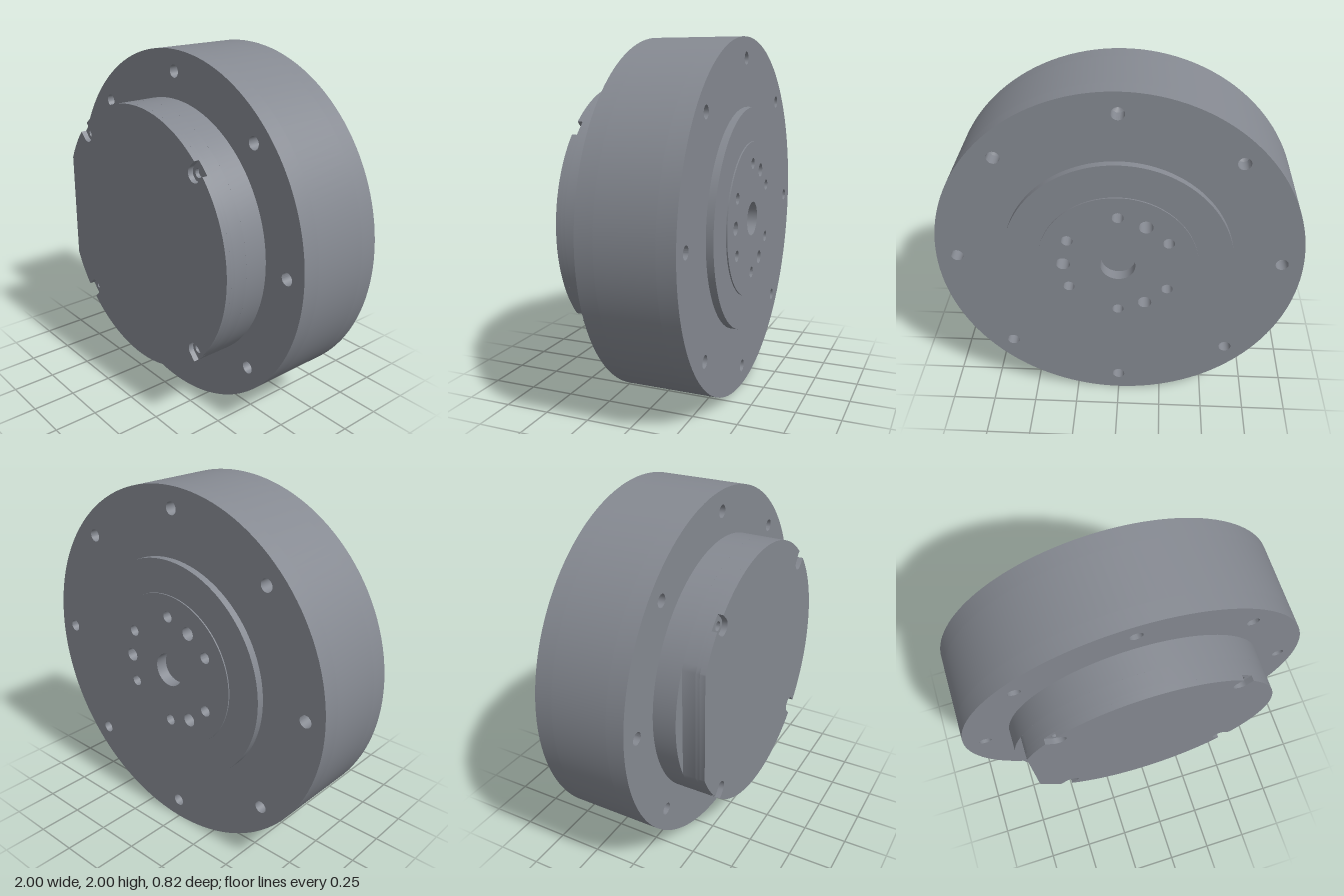
import * as THREE from 'three';
import { toCreasedNormals } from 'three/addons/utils/BufferGeometryUtils.js';

const steel = new THREE.MeshStandardMaterial({ color: 0x858991, side: THREE.DoubleSide });
steel.name = 'steel grey';

// points of a circle
function circle(cx, cy, r, n = 24) {
  const pts = [];
  for (let i = 0; i < n; i++) {
    const a = (i / n) * Math.PI * 2;
    pts.push(new THREE.Vector2(cx + r * Math.cos(a), cy + r * Math.sin(a)));
  }
  return pts;
}

// points of a circle placed by angle (degrees) on a bolt ring
function polarHole(ringR, deg, r) {
  const a = THREE.MathUtils.degToRad(deg);
  return circle(ringR * Math.cos(a), ringR * Math.sin(a), r);
}

// flat plate between two z planes, with holes
function slab(name, outline, z0, z1, holes = []) {
  const shape = new THREE.Shape(outline);
  shape.holes = holes.map((h) => new THREE.Path(h));
  const geo = new THREE.ExtrudeGeometry(shape, { depth: z1 - z0, bevelEnabled: false });
  geo.translate(0, 0, z0);
  const mesh = new THREE.Mesh(toCreasedNormals(geo, 0.5), steel);
  mesh.name = name;
  return mesh;
}

const BOSS_R = 0.738, FLAT_X = -0.67, SCREW_R = 0.689, SLOT = 0.045;

// boss outline: circle cut by a flat on one side, optionally with four U slots
function bossOutline(slots) {
  const pts = [];
  const half = Math.asin(SLOT / BOSS_R);
  const flatA = Math.acos(-FLAT_X / BOSS_R);
  const arc = (a0, a1, n) => {
    for (let i = 0; i <= n; i++) {
      const a = a0 + ((a1 - a0) * i) / n;
      pts.push(new THREE.Vector2(BOSS_R * Math.cos(a), BOSS_R * Math.sin(a)));
    }
  };
  const slot = (a) => {
    const cx = SCREW_R * Math.cos(a), cy = SCREW_R * Math.sin(a);
    for (let i = 0; i <= 12; i++) {
      const t = a - Math.PI / 2 - (Math.PI * i) / 12;
      pts.push(new THREE.Vector2(cx + SLOT * Math.cos(t), cy + SLOT * Math.sin(t)));
    }
  };
  let start = -Math.PI + flatA;
  const end = Math.PI - flatA;
  if (slots) {
    for (const deg of [-135, -45, 45, 135]) {
      const a = THREE.MathUtils.degToRad(deg);
      arc(start, a - half, 24);
      slot(a);
      start = a + half;
    }
  }
  arc(start, end, slots ? 24 : 96);
  return pts;
}

export function createModel() {
  const group = new THREE.Group();
  group.name = 'roundHousing';
  group.position.y = 1;

  const rim = circle(0, 0, 1, 128);
  const hubEdge = () => circle(0, 0, 0.435, 96);
  const boltAngles = [0, 45, 90, 135, 180, 225, 270, 315];
  const bolts = () => boltAngles.map((d) => polarHole(0.885, d, 0.035));

  // main drum with blind bolt holes on both faces
  group.add(slab('drumFront', rim, 0.054, 0.154, bolts()));
  group.add(slab('drumCore', rim, -0.265, 0.054));
  group.add(slab('drumBack', rim, -0.365, -0.265, [...bolts(), hubEdge()]));

  // conical drill tips at the bottom of the bolt holes
  for (const deg of boltAngles) {
    const a = THREE.MathUtils.degToRad(deg);
    for (const side of [1, -1]) {
      const tip = new THREE.Mesh(new THREE.ConeGeometry(0.035, 0.02, 24, 1, true), steel);
      tip.name = 'boltHoleTip';
      tip.rotation.x = (-side * Math.PI) / 2;
      tip.position.set(0.885 * Math.cos(a), 0.885 * Math.sin(a), side > 0 ? 0.065 : -0.276);
      group.add(tip);
    }
  }

  // front boss: round base, then flat-sided cover with slotted screw seats
  const screws = [45, 135, 225, 315].map((d) => polarHole(SCREW_R, d, 0.025));
  group.add(slab('bossBase', circle(0, 0, BOSS_R, 128), 0.154, 0.285));
  group.add(slab('coverBody', bossOutline(false), 0.285, 0.36));
  group.add(slab('coverScrewSeats', bossOutline(false), 0.36, 0.382, screws));
  group.add(slab('coverFace', bossOutline(true), 0.382, 0.412));

  // rear raised ring and output hub with screw and pin holes
  group.add(slab('rearRing', circle(0, 0, 0.623, 128), -0.405, -0.365, [hubEdge()]));
  const hubHoles = [
    circle(0, 0, 0.095, 40),
    ...[30, 90, 150, 210, 270, 330].map((d) => polarHole(0.312, d, 0.031)),
    ...[0, 120, 240].map((d) => polarHole(0.297, d, 0.038)),
  ];
  group.add(slab('rearHub', hubEdge(), -0.412, -0.265, hubHoles));
  group.add(slab('hubBoreFloor', circle(0, 0, 0.095, 40), -0.345, -0.265));

  return group;
}
